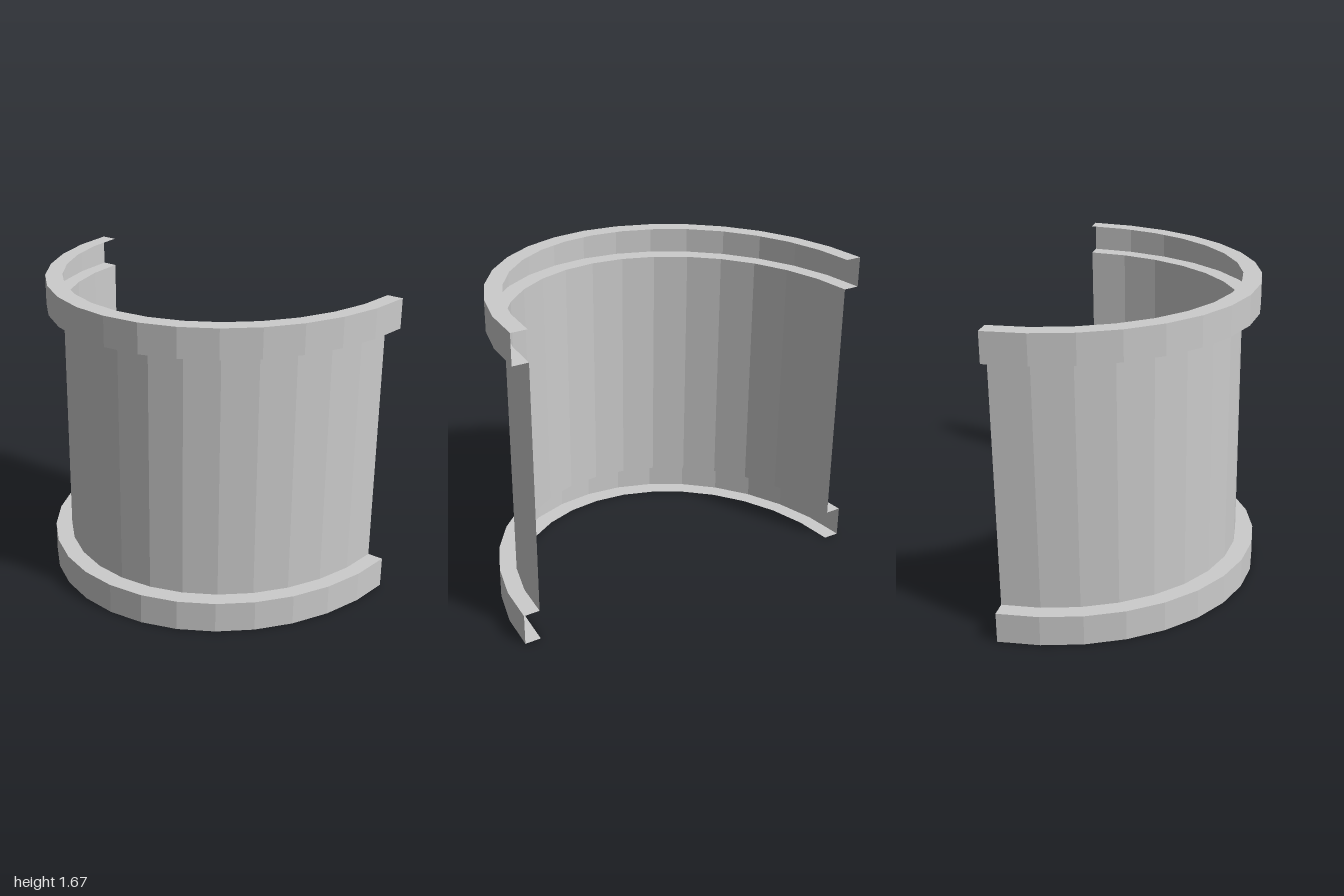
import * as THREE from 'three';

const OUTER = 1, INNER = 0.914;      // radii of the rims and the wall
const STRETCH = 1.143;               // widening of the half ring along x
const HEIGHT = 1.668, RIM_LOW = 0.167, RIM_HIGH = 1.508;

export function createModel() {
  const group = new THREE.Group();
  group.name = 'halfShell';
  const material = new THREE.MeshStandardMaterial({
    color: 0xcccccc, flatShading: true, side: THREE.DoubleSide,
  });

  // Sweeps a [radius, y] profile around the -x half of an ellipse
  function sweep(name, profile) {
    const points = profile.map(([r, y]) => new THREE.Vector2(r, y));
    const geometry = new THREE.LatheGeometry(points, 16, Math.PI, Math.PI)
      .scale(STRETCH, 1, 1)
      .translate(STRETCH / 2, 0, 0)
      .toNonIndexed();
    geometry.computeVertexNormals();
    const mesh = new THREE.Mesh(geometry, material);
    mesh.name = name;
    group.add(mesh);
  }

  // Channel-shaped rim, open towards the inside
  const rim = (name, y0, y1) =>
    sweep(name, [[INNER, y0], [OUTER, y0], [OUTER, y1], [INNER, y1]]);

  rim('lowerRim', 0, RIM_LOW);
  sweep('wall', [[INNER, RIM_LOW], [INNER, RIM_HIGH]]);
  rim('upperRim', RIM_HIGH, HEIGHT);

  return group;
}
